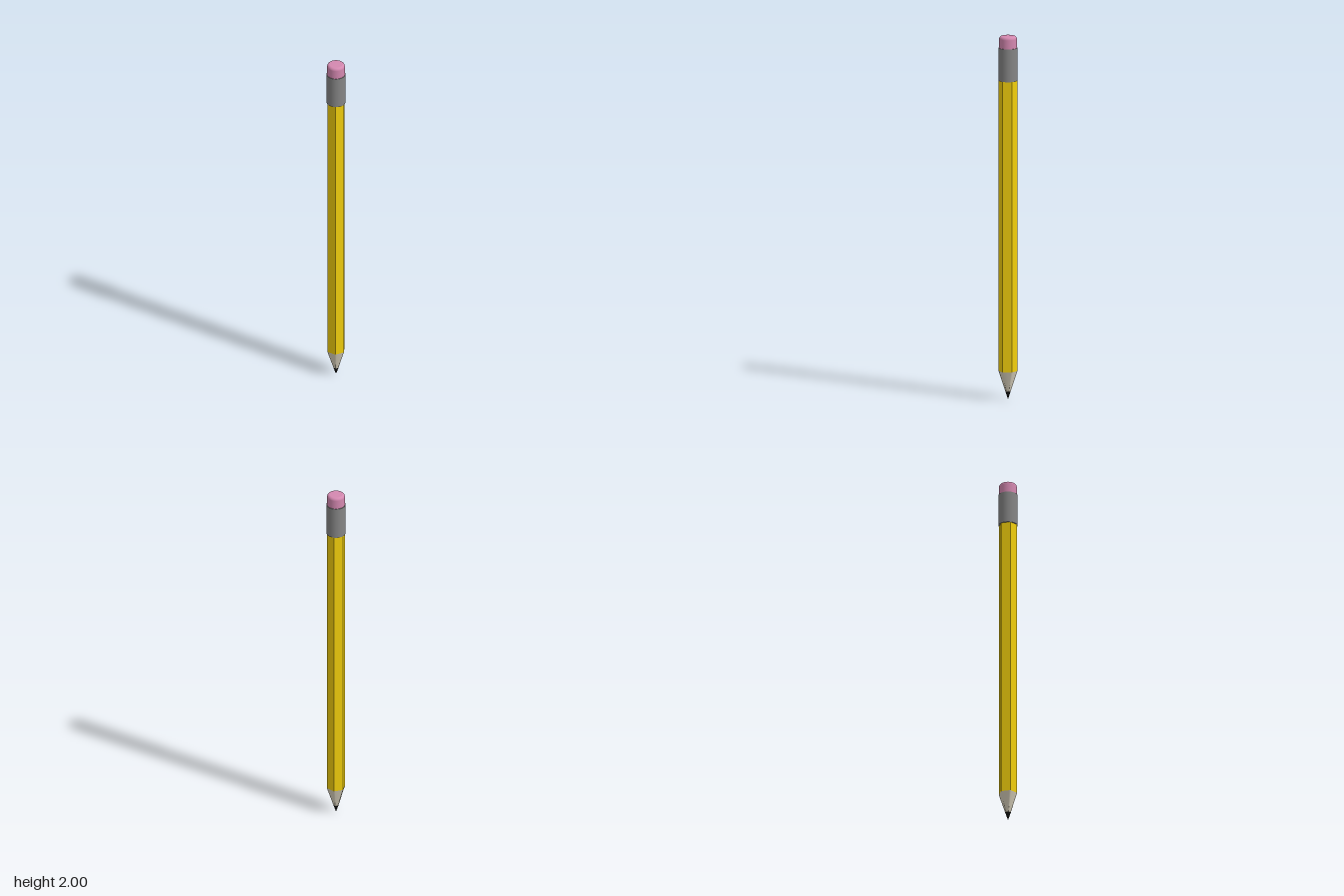
import * as THREE from 'three';

const BODY_R = 0.0515, BODY_BOTTOM = 0.157, BODY_TOP = 1.76, LEAD_TOP = 0.045;

// distance from the axis to a hexagon's edge, corners on the x axis
const hexRadius = (angle, r) => {
  const sector = Math.PI / 3;
  const a = ((angle % sector) + sector) % sector - sector / 2;
  return r * Math.cos(sector / 2) / Math.cos(a);
};

const lathe = (points) => new THREE.LatheGeometry(points.map(([x, y]) => new THREE.Vector2(x, y)), 48);

export function createModel() {
  const pencil = new THREE.Group();
  pencil.name = 'pencil';

  const add = (name, geometry, color, options = {}) => {
    const material = new THREE.MeshStandardMaterial({ color, ...options });
    const mesh = new THREE.Mesh(geometry, material);
    mesh.name = name;
    pencil.add(mesh);
  };

  // Six-sided painted shaft
  const shaft = new THREE.CylinderGeometry(BODY_R, BODY_R, BODY_TOP - BODY_BOTTOM, 6);
  shaft.rotateY(Math.PI / 6);
  shaft.translate(0, (BODY_TOP + BODY_BOTTOM) / 2, 0);
  add('shaft', shaft, 0xf2cf0c, { flatShading: true });

  // Sharpened wood: hexagonal where it meets the paint, round at the lead
  const wood = new THREE.CylinderGeometry(BODY_R, 0.015, BODY_BOTTOM - LEAD_TOP, 48, 1, true);
  wood.translate(0, (BODY_BOTTOM + LEAD_TOP) / 2, 0);
  const pos = wood.attributes.position;
  for (let i = 0; i < pos.count; i++) {
    if (pos.getY(i) < 0.1) continue;
    const a = Math.atan2(pos.getZ(i), pos.getX(i));
    const r = hexRadius(a, BODY_R);
    pos.setXYZ(i, Math.cos(a) * r, pos.getY(i), Math.sin(a) * r);
  }
  wood.computeVertexNormals();
  add('sharpenedWood', wood, 0xd8d0bc, { side: THREE.DoubleSide });

  // Lead point
  add('leadPoint', lathe([[0, 0], [0.015, LEAD_TOP]]), 0x111111, { side: THREE.DoubleSide });

  // Metal ferrule
  const ferrule = new THREE.CylinderGeometry(0.0515, 0.0515, 0.18, 48);
  ferrule.translate(0, 1.845, 0);
  add('ferrule', ferrule, 0x858585);

  // Eraser with a rounded rim
  const profile = [[0.048, 1.9], [0.048, 1.984]];
  for (let i = 1; i <= 6; i++) {
    const a = (i / 6) * Math.PI / 2;
    profile.push([0.034 + 0.014 * Math.cos(a), 1.984 + 0.016 * Math.sin(a)]);
  }
  profile.push([0, 2]);
  add('eraser', lathe(profile), 0xd488b0);

  return pencil;
}
